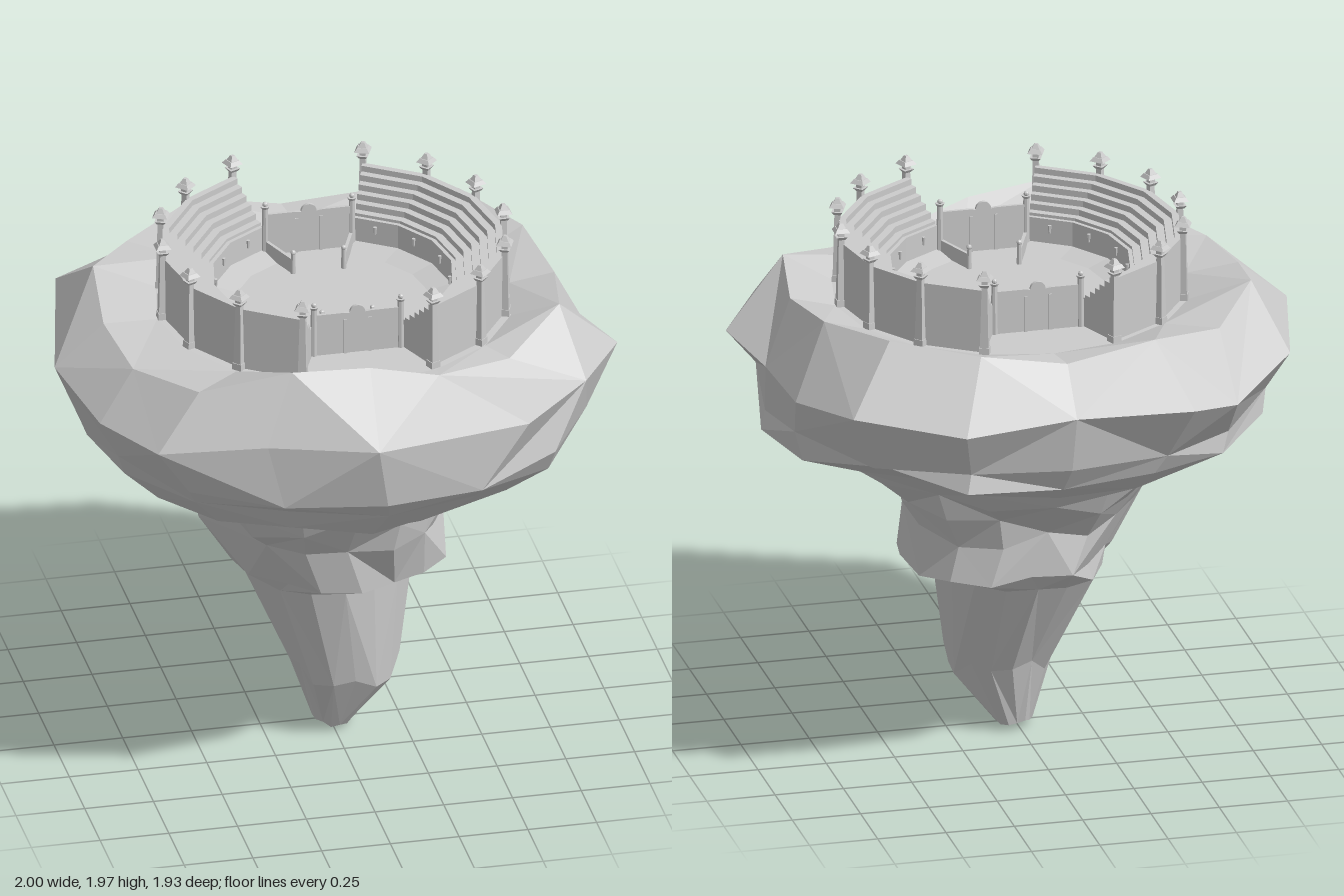
import * as THREE from 'three';

const stone = new THREE.MeshStandardMaterial({ color: 0xcccccc, flatShading: true, side: THREE.DoubleSide });
const FLOOR = 1.655, SIDES = 16, STEP = Math.PI / 8;

function part(name, geometry, parent, x = 0, y = 0, z = 0) {
  const mesh = new THREE.Mesh(geometry, stone);
  mesh.name = name;
  mesh.position.set(x, y, z);
  parent.add(mesh);
  return mesh;
}

// Small repeatable noise in -1..1
const noise = (i, j) => {
  const s = Math.sin(i * 127.1 + j * 311.7) * 43758.5453;
  return (s - Math.floor(s)) * 2 - 1;
};

// Floating rock: rings of points, from the middle of the top down to the tip
function rockGeometry() {
  const crestR = [.82, .83, .76, .68, .67, .76, .86, .85, .82, .85, .85, .84, .78, .8, .86, .84];
  const crestY = [1.69, 1.73, 1.65, 1.66, 1.74, 1.77, 1.68, 1.65, 1.67, 1.73, 1.67, 1.72, 1.66, 1.7, 1.74, 1.72];
  // Widest outline: x, z, y
  const rim = [
    [.93, -.08, 1.47], [1, .22, 1.5], [.82, .52, 1.52], [.55, .8, 1.52], [-.03, .96, 1.55], [-.4, .8, 1.53],
    [-.77, .67, 1.48], [-.92, .39, 1.48], [-1, .01, 1.52], [-.86, -.6, 1.55], [-.6, -.87, 1.48],
    [-.42, -.97, 1.51], [0, -.92, 1.5], [.4, -.91, 1.46], [.77, -.73, 1.5], [.91, -.44, 1.47]];
  // y, centre x, centre z, radius x, radius z, radius jitter, height jitter
  const lower = [
    [1.3, .01, 0, .93, .9, .03, .03], [1.23, .03, -.03, .87, .84, .06, .025],
    [1.12, 0, .02, .72, .69, .07, .025], [1.04, 0, -.01, .57, .57, .08, .025],
    [.95, -.01, 0, .46, .48, .09, .03],
    [.84, -.02, 0, .42, .44, .1, .04], [.69, .04, -.03, .36, .39, .1, .03],
    [.63, 0, -.05, .3, .31, .05, .015], [.25, .05, .02, .195, .19, .06, .04],
    [.025, .015, 0, .078, .11, .05, .012], [.003, .015, 0, 0, 0, 0, 0]];
  const rings = [
    () => [0, FLOOR, 0],
    (c, s) => [.02 + .64 * c, FLOOR, -.02 + .64 * s],
    (c, s, i) => [crestR[i] * c, crestY[i], crestR[i] * s],
    (c, s, i) => [rim[i][0], rim[i][2], rim[i][1]],
    ...lower.map(([y, x, z, rx, rz, jr, jy], j) => (c, s, i) => {
      const k = 1 + jr * noise(i, j);
      return [x + rx * k * c, y + jy * noise(i + 40, j), z + rz * k * s];
    })];
  const points = [], faces = [];
  rings.forEach((ring, j) => {
    for (let i = 0; i < SIDES; i++) {
      points.push(...ring(Math.cos(i * STEP), Math.sin(i * STEP), i));
      if (j === rings.length - 1) continue;
      const n = (i + 1) % SIDES;
      const a = j * SIDES + i, b = j * SIDES + n, c = a + SIDES, d = b + SIDES;
      if ((i + j) % 2) faces.push(a, b, d, a, d, c);
      else faces.push(a, b, c, b, d, c);
    }
  });
  const g = new THREE.BufferGeometry();
  g.setAttribute('position', new THREE.Float32BufferAttribute(points, 3));
  g.setIndex(faces);
  g.computeVertexNormals();
  return g;
}

// Stepped seating: cross-section (radius, height) turned through 135 degrees
function addStand(arena, start) {
  const stand = new THREE.Group();
  stand.name = 'seatingStand';
  const profile = [[.43, 1.6], [.615, 1.6], [.615, 1.89], [.59, 1.89]];
  for (let k = 0; k < 5; k++) {
    const r = .59 - k * .029, y = 1.868 - k * .023;
    profile.push([r, y], [r - .029, y]);
  }
  profile.push([.445, 1.765], [.43, 1.765], [.43, 1.6]);
  const pts = profile.map(([r, y]) => new THREE.Vector2(r, y));
  part('seatingSteps', new THREE.LatheGeometry(pts, 6, start, STEP * 6), stand);
  for (const phi of [start, start + STEP * 6]) {
    part('standEnd', new THREE.ShapeGeometry(new THREE.Shape(pts)), stand).rotation.y = phi - Math.PI / 2;
  }
  // Torches on the inner wall, one per facet
  for (let k = 0; k < 6; k++) {
    const phi = start + (k + .5) * STEP;
    const torch = part('wallTorch', new THREE.CylinderGeometry(.007, .004, .03, 6), stand,
      .415 * Math.sin(phi), 1.73, .415 * Math.cos(phi));
    torch.rotation.y = phi;
  }
  // Outer posts at every corner
  for (let k = 0; k <= 6; k++) {
    const phi = start + k * STEP;
    const post = lanternPost();
    post.position.set(.62 * Math.sin(phi), 0, .62 * Math.cos(phi));
    post.rotation.y = phi;
    stand.add(post);
  }
  arena.add(stand);
}

// Square piece, wider or narrower at the top
function square(bottom, top, height) {
  return new THREE.CylinderGeometry(top * Math.SQRT1_2, bottom * Math.SQRT1_2, height, 4).rotateY(Math.PI / 4);
}

function lanternPost() {
  const post = new THREE.Group();
  post.name = 'lanternPost';
  part('postFoot', square(.04, .036, .08), post, 0, 1.64);
  part('postShaft', square(.032, .02, .25), post, 0, 1.785);
  part('postCollar', square(.024, .04, .012), post, 0, 1.914);
  part('lantern', square(.022, .022, .02), post, 0, 1.928);
  part('lanternRoof', square(.054, .036, .014), post, 0, 1.945);
  part('lanternTip', square(.03, .012, .018), post, 0, 1.961);
  return post;
}

// Straight gate wall between the two stands, with a round crest in the middle
function addGate(arena, z) {
  const gate = new THREE.Group();
  gate.name = 'gate';
  gate.position.z = z;
  const s = new THREE.Shape();
  s.moveTo(-.165, 1.62);
  s.lineTo(.165, 1.62);
  s.lineTo(.165, 1.815);
  s.lineTo(.05, 1.815);
  s.absarc(0, 1.812, .028, 0, Math.PI, false);
  s.lineTo(-.05, 1.815);
  s.lineTo(-.165, 1.815);
  const wall = new THREE.ExtrudeGeometry(s, { depth: .012, bevelEnabled: false, curveSegments: 8 });
  part('gateWall', wall, gate, 0, 0, -.006);
  for (const side of [-1, 1]) {
    part('gatePost', new THREE.CylinderGeometry(.011, .014, .22, 8), gate, side * .158, 1.73);
    part('gatePostCap', new THREE.CylinderGeometry(.018, .012, .01, 8), gate, side * .158, 1.843);
    part('gatePostBall', new THREE.SphereGeometry(.01, 8, 6), gate, side * .158, 1.854);
    part('gateJamb', new THREE.BoxGeometry(.012, .16, .022), gate, side * .045, 1.71);
  }
  arena.add(gate);
}

// Low rail running inward from each end of a stand
function addRails(arena) {
  for (const sx of [-1, 1]) for (const sz of [-1, 1]) {
    const rail = new THREE.Group();
    rail.name = 'entryRail';
    rail.rotation.y = Math.atan2(sx * .092, sz * .235);
    part('railWall', new THREE.BoxGeometry(.012, .06, .18), rail, 0, 1.68, .34);
    part('railPost', new THREE.CylinderGeometry(.008, .01, .08, 8), rail, 0, 1.69, .252);
    part('railPostBall', new THREE.SphereGeometry(.01, 8, 6), rail, 0, 1.736, .252);
    arena.add(rail);
  }
}

export function createModel() {
  const model = new THREE.Group();
  model.name = 'floatingArena';
  part('floatingRock', rockGeometry(), model);

  const arena = new THREE.Group();
  arena.name = 'arena';
  arena.position.set(.02, 0, -.025);
  // Gently dished floor edge in front of each stand
  const dish = [new THREE.Vector2(.345, FLOOR), new THREE.Vector2(.435, FLOOR + .02)];
  for (const start of [STEP, STEP + Math.PI]) {
    part('floorEdge', new THREE.LatheGeometry(dish, 6, start, STEP * 6), arena);
    addStand(arena, start);
  }
  addGate(arena, .397);
  addGate(arena, -.397);
  addRails(arena);
  model.add(arena);
  return model;
}
